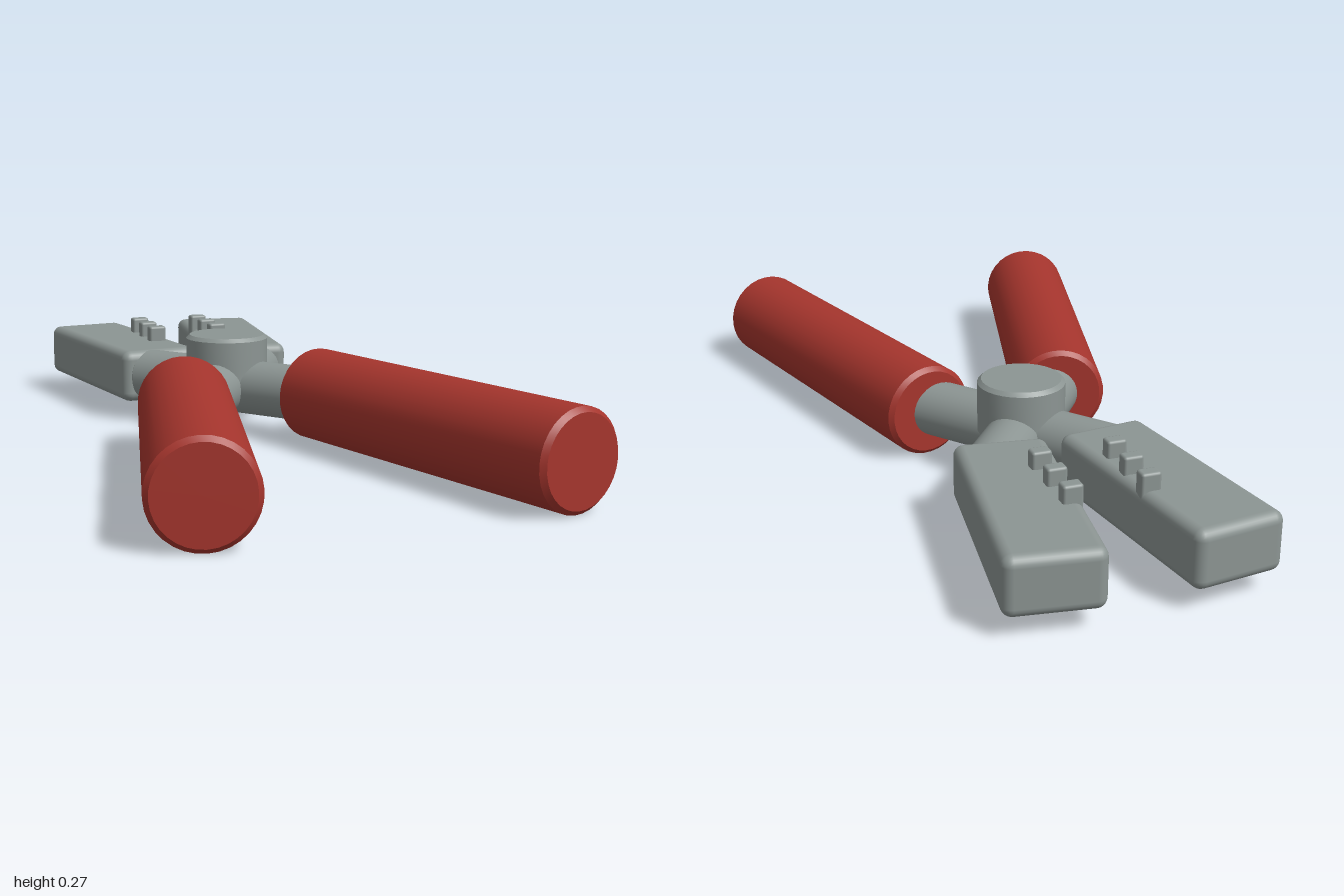
import * as THREE from 'three';
import { toCreasedNormals } from 'three/addons/utils/BufferGeometryUtils.js';
import { RoundedBoxGeometry } from 'three/addons/geometries/RoundedBoxGeometry.js';

const gripRed = new THREE.MeshStandardMaterial({ name: 'grip red', color: 0xa5352d });
const steelGrey = new THREE.MeshStandardMaterial({ name: 'steel grey', color: 0x8c9593 });

const MID = 0.125;      // height of the bar axes
const PIVOT_Z = -0.185; // where the bars cross

function addMesh(parent, name, geometry, material) {
  const mesh = new THREE.Mesh(geometry, material);
  mesh.name = name;
  parent.add(mesh);
  return mesh;
}

// Solid cylinder along y, with bevelled rims
function bevelledCylinder(radius, length, bevel) {
  const h = length / 2;
  const profile = [
    [0, -h], [radius - bevel, -h], [radius, -h + bevel],
    [radius, h - bevel], [radius - bevel, h], [0, h],
  ].map(([x, y]) => new THREE.Vector2(x, y));
  return toCreasedNormals(new THREE.LatheGeometry(profile, 32), 0.6);
}

// Cylinder lying between two points on the bar plane
function addBar(parent, name, from, to, radius, bevel, material) {
  const a = new THREE.Vector3(from[0], MID, from[1]);
  const b = new THREE.Vector3(to[0], MID, to[1]);
  const dir = b.clone().sub(a);
  const mesh = addMesh(parent, name, bevelledCylinder(radius, dir.length(), bevel), material);
  mesh.position.copy(a).add(b).multiplyScalar(0.5);
  mesh.quaternion.setFromUnitVectors(new THREE.Vector3(0, 1, 0), dir.normalize());
}

export function createModel() {
  const model = new THREE.Group();
  model.name = 'pliers';

  for (const s of [-1, 1]) {
    const side = s > 0 ? 'left' : 'right';

    // Handle grip
    addBar(model, side + 'Handle', [s * 0.186, 0.012], [s * 0.439, 0.967], 0.124, 0.012, gripRed);

    // Crossing bar, from this side's handle to the opposite jaw
    addBar(model, side + 'CrossBar', [s * 0.19, 0.065], [-s * 0.17, -0.415], 0.075, 0.005, steelGrey);

    // Jaw
    const jaw = addMesh(model, side + 'Jaw', new RoundedBoxGeometry(0.234, 0.148, 0.61, 3, 0.026), steelGrey);
    jaw.position.set(s * 0.175, 0.127, -0.687);
    jaw.rotation.y = -s * 0.14;

    // Row of teeth on top of the jaw
    for (let i = 0; i < 3; i++) {
      const tooth = addMesh(model, side + 'Tooth' + (i + 1), new RoundedBoxGeometry(0.05, 0.075, 0.036, 2, 0.007), steelGrey);
      tooth.position.set(s * 0.095, 0.207, -0.568 - i * 0.096);
    }
  }

  // Pivot stud
  const pivot = addMesh(model, 'pivot', bevelledCylinder(0.114, 0.15, 0.01), steelGrey);
  pivot.position.set(0, 0.195, PIVOT_Z);

  return model;
}
